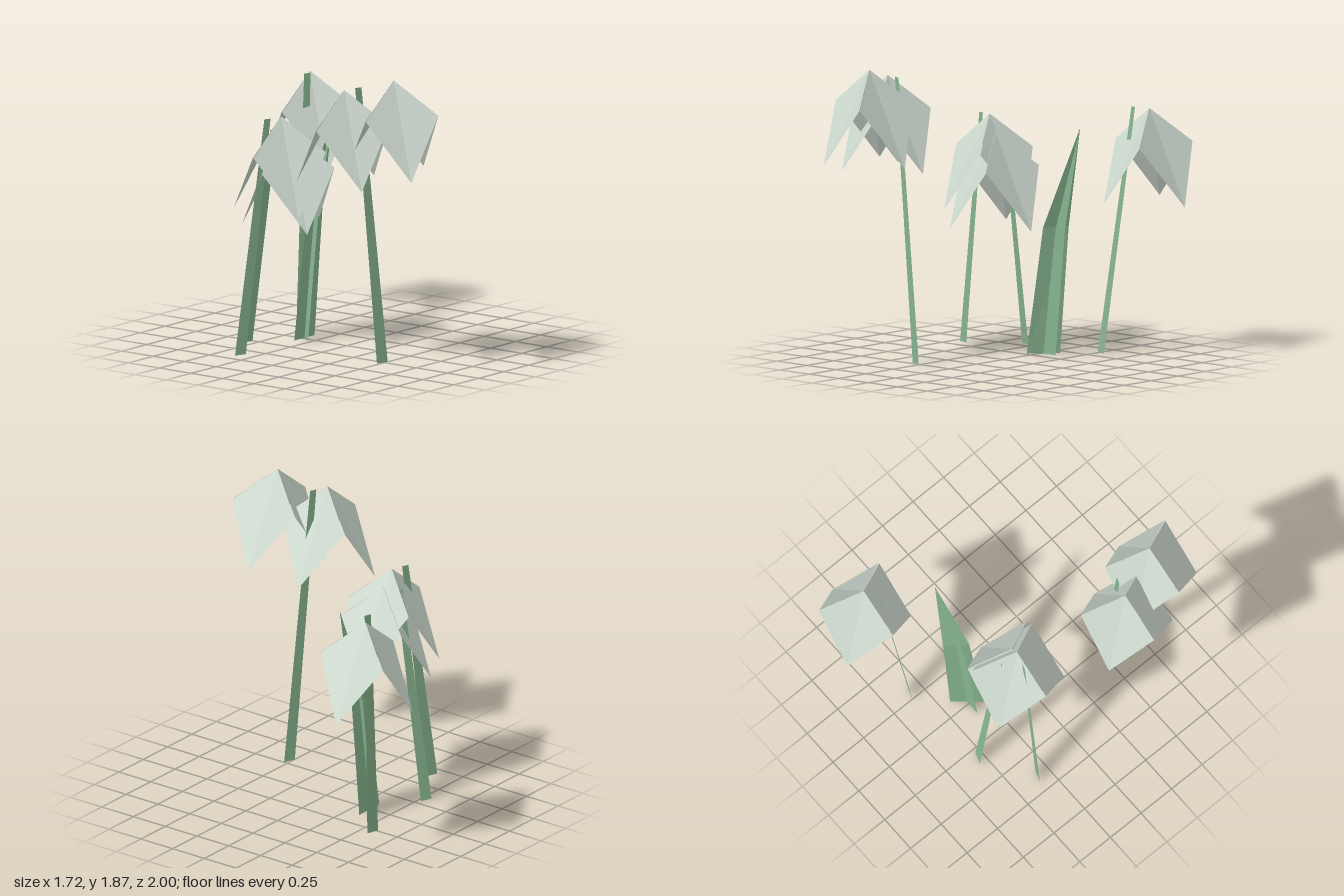
import * as THREE from 'three';

const petalMat = new THREE.MeshStandardMaterial({ color: 0xcdd9cf, side: THREE.DoubleSide });
petalMat.name = 'pale petal';
const greenMat = new THREE.MeshStandardMaterial({ color: 0x86b48f, side: THREE.DoubleSide });
greenMat.name = 'leaf green';

// Thin faceted surface from corner points and triangles
function surface(name, points, faces, material) {
  const geo = new THREE.BufferGeometry();
  geo.setAttribute('position', new THREE.Float32BufferAttribute(faces.flat().flatMap((i) => points[i]), 3));
  geo.computeVertexNormals();
  const mesh = new THREE.Mesh(geo, material);
  mesh.name = name;
  return mesh;
}

// Bell of three drooping petals, each folded along its centre line
function makeFlower(x, y, z) {
  const flower = new THREE.Group();
  flower.name = 'flower';
  for (let i = 0; i < 3; i++) {
    const petal = surface('petal',
      [[0, 0, 0], [0.143, -0.22, 0.243], [0.3, -0.597, 0], [0.143, -0.22, -0.243]],
      [[0, 1, 2], [0, 2, 3]], petalMat);
    petal.rotation.y = (i * Math.PI * 2) / 3;
    flower.add(petal);
  }
  flower.position.set(x, y, z);
  return flower;
}

// Flat tapering stem, turned slightly about the vertical
function makeStem(base, top) {
  const edge = ([x, y, z], s) => [x + 0.038 * s, y, z + 0.013 * s];
  return surface('stem',
    [edge(base, -1), edge(base, 1), edge(top, 0.58), edge(top, -0.58)],
    [[0, 1, 2], [0, 2, 3]], greenMat);
}

// Leaf blade with a bend part way up, ending in a point
function makeBlade(baseA, baseB, kneeA, kneeB) {
  return surface('leafBlade', [baseA, baseB, kneeB, kneeA, [0.325, 1.46, -0.355]],
    [[0, 1, 2], [0, 2, 3], [3, 2, 4]], greenMat);
}

export function createModel() {
  const model = new THREE.Group();
  model.name = 'flowerClump';

  // Flower heads, placed by their peaks
  const peaks = [
    [-0.46, 1.87, 0.738], [-0.58, 1.79, 0.438], [0.56, 1.565, -0.738],
    [-0.345, 1.49, -0.25], [-0.28, 1.38, -0.235],
  ];
  for (const p of peaks) model.add(makeFlower(...p));

  // Stems, from ground to tip
  const stems = [
    [[-0.28, 0.005, 0.505], [-0.475, 1.79, 0.468]],
    [[-0.315, 0.005, -0.545], [-0.3, 1.385, -0.345]],
    [[-0.647, 0.005, -0.335], [-0.445, 1.485, -0.28]],
    [[0.288, 0.005, -0.587], [0.47, 1.57, -0.688]],
  ];
  for (const [base, top] of stems) model.add(makeStem(base, top));

  // Leaf of two crossing blades
  const leaf = new THREE.Group();
  leaf.name = 'leaf';
  leaf.add(
    makeBlade([-0.085, 0, -0.352], [0.12, 0, -0.352], [0.045, 0.81, -0.352], [0.2, 0.81, -0.352]),
    makeBlade([-0.05, 0, -0.27], [0.085, 0, -0.432], [0.075, 0.81, -0.285], [0.17, 0.81, -0.418]),
  );
  model.add(leaf);
  return model;
}
